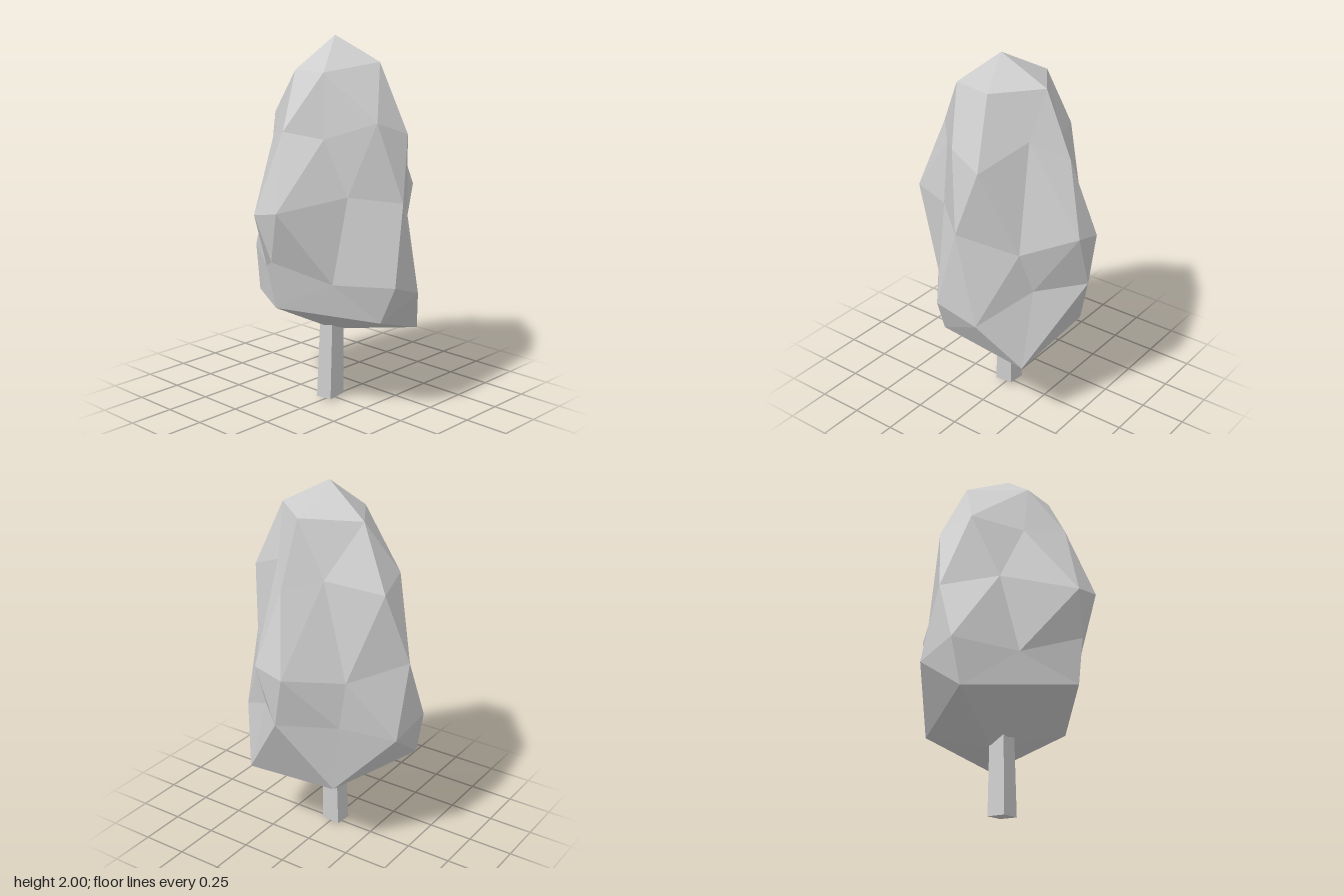
import * as THREE from 'three';

const material = () => new THREE.MeshStandardMaterial({ color: 0xcccccc, flatShading: true });

// Faceted crown: rings run from +x towards +z, top to bottom
const top = [-0.02, 2.0, 0.04];
const cap = [[0.26, 1.87, 0.04], [0.07, 1.87, 0.27], [-0.22, 1.83, 0.15], [-0.22, 1.83, -0.05], [0.07, 1.85, -0.23]];
const upper = [
  [0.41, 1.53, 0.04], [0.25, 1.63, 0.17], [0.12, 1.51, 0.42], [-0.07, 1.58, 0.38], [-0.26, 1.5, 0.19],
  [-0.4, 1.54, 0.04], [-0.27, 1.5, -0.16], [-0.07, 1.57, -0.36], [0.12, 1.51, -0.39], [0.25, 1.57, -0.11],
];
const middle = [
  [0.53, 1.15, 0.12], [0.28, 1.05, 0.29], [0.02, 1.17, 0.48], [-0.2, 1.21, 0.3], [-0.53, 1.15, 0.12],
  [-0.53, 1.12, -0.04], [-0.2, 1.2, -0.28], [0.03, 1.13, -0.49], [0.29, 1.06, -0.27], [0.53, 1.11, -0.04],
];
const lower = [
  [0.52, 0.84, 0.01], [0.32, 0.82, 0.22], [0.145, 0.67, 0.485], [-0.08, 0.75, 0.52], [-0.28, 0.76, 0.27],
  [-0.49, 0.88, 0.04], [-0.28, 0.77, -0.22], [-0.08, 0.8, -0.52], [0.145, 0.73, -0.49], [0.32, 0.81, -0.25],
];
const base = [[0.33, 0.4, 0.33], [-0.1, 0.55, 0.44], [-0.46, 0.63, 0.04], [-0.1, 0.55, -0.47], [0.33, 0.44, -0.22]];
const bottom = [0.04, 0.38, -0.03];

function crownGeometry() {
  const positions = [];
  const tri = (a, b, c) => positions.push(...a, ...b, ...c);
  const at = (ring, i) => ring[(i + ring.length) % ring.length];

  for (let k = 0; k < 5; k++) {
    // Top cap
    const a = at(cap, k), b = at(cap, k + 1), i = 2 * k;
    tri(top, b, a);
    tri(a, at(upper, i + 1), at(upper, i));
    tri(a, at(upper, i), at(upper, i - 1));
    tri(a, b, at(upper, i + 1));
    // Underside, turned by half a step
    const c = at(base, k), d = at(base, k + 1), j = i + 1;
    tri(bottom, c, d);
    tri(c, at(lower, j), at(lower, j + 1));
    tri(c, at(lower, j - 1), at(lower, j));
    tri(c, at(lower, j + 1), d);
  }
  // Zigzag bands above and below the widest ring
  for (let i = 0; i < 10; i++) {
    const m = at(middle, i), n = at(middle, i + 1);
    tri(at(upper, i), at(upper, i + 1), m);
    tri(m, at(upper, i + 1), n);
    tri(at(lower, i + 1), at(lower, i), m);
    tri(m, n, at(lower, i + 1));
  }
  const geometry = new THREE.BufferGeometry();
  geometry.setAttribute('position', new THREE.Float32BufferAttribute(positions, 3));
  geometry.computeVertexNormals();
  return geometry;
}

// Square trunk, its foot slightly wider and cut at a slant
function trunkGeometry() {
  const geometry = new THREE.BoxGeometry(0.09, 0.5, 0.09);
  geometry.translate(0, 0.25, 0);
  const p = geometry.attributes.position;
  for (let i = 0; i < p.count; i++) {
    if (p.getY(i) > 0.1) continue;
    const x = p.getX(i) < 0 ? -0.06 : 0.045;
    const z = p.getZ(i) < 0 ? -0.06 : 0.045;
    p.setXYZ(i, x, (x + z + 0.12) * 0.09, z);
  }
  geometry.computeVertexNormals();
  return geometry;
}

export function createModel() {
  const tree = new THREE.Group();
  tree.name = 'tree';
  const crown = new THREE.Mesh(crownGeometry(), material());
  crown.name = 'crown';
  const trunk = new THREE.Mesh(trunkGeometry(), material());
  trunk.name = 'trunk';
  tree.add(crown, trunk);
  return tree;
}
